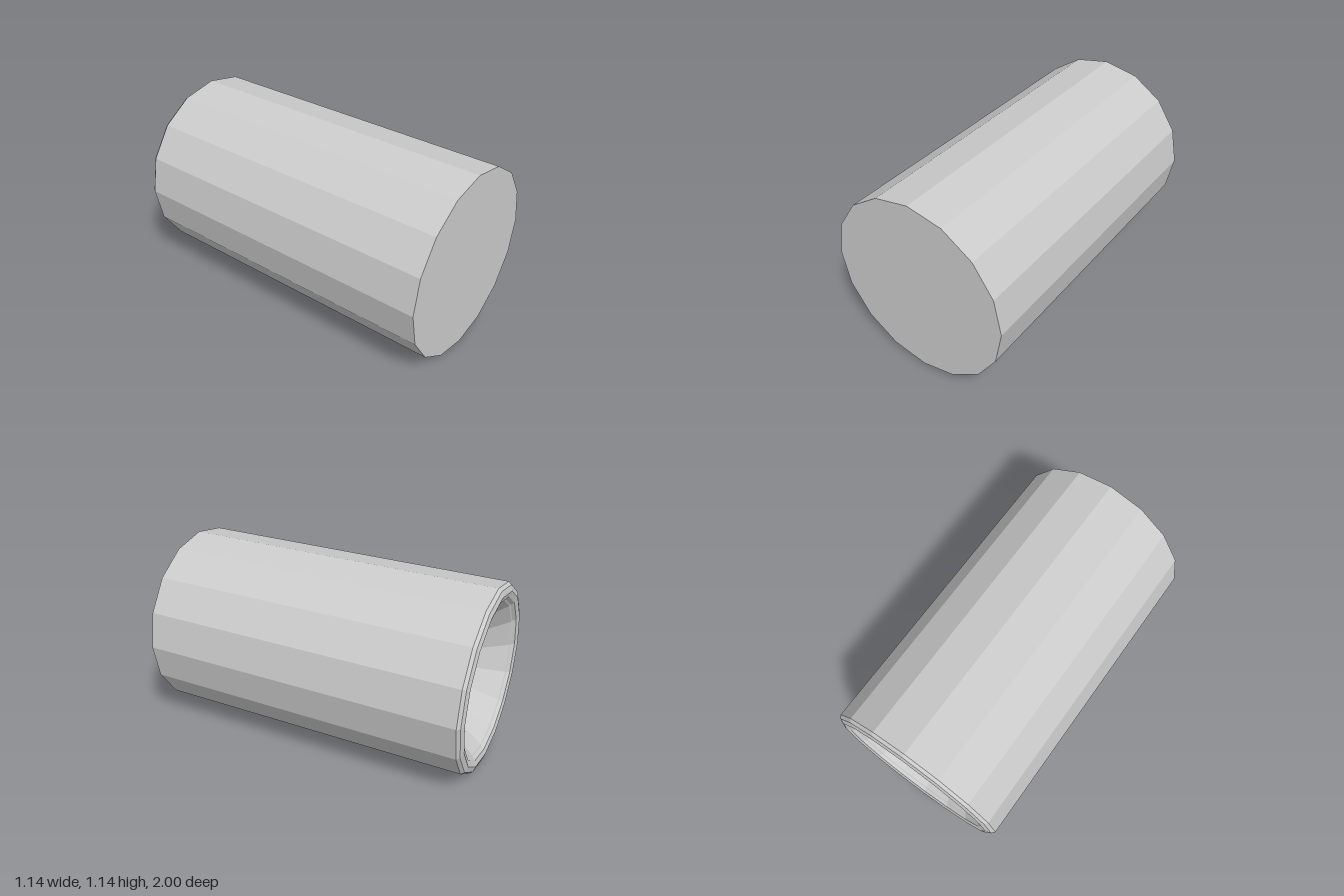
import * as THREE from 'three';

const SIDES = 16;
const RADIUS = 0.57;

export function createModel() {
  const model = new THREE.Group();
  model.name = 'hollowEndedCylinder';
  const material = new THREE.MeshStandardMaterial({ color: 0xcccccc, flatShading: true });

  // Revolves [radius, distance towards the back] points around the z axis
  const addTurned = (name, points) => {
    const profile = points.map(([r, d]) => new THREE.Vector2(r, d));
    const geometry = new THREE.LatheGeometry(profile, SIDES);
    geometry.rotateX(-Math.PI / 2);
    const mesh = new THREE.Mesh(geometry, material);
    mesh.name = name;
    mesh.position.y = RADIUS;
    model.add(mesh);
  };

  // Long faceted body with a closed flat front
  addTurned('body', [[0, -1], [RADIUS, -1], [RADIUS, 0.97]]);

  // Rounded lip around the back opening
  addTurned('rim', [
    [RADIUS, 0.97], [0.555, 0.989], [0.52, 1], [0.485, 0.989], [0.47, 0.97], [0.46, 0.965],
  ]);

  // Tapered recess ending in a small flat floor
  addTurned('recess', [[0.46, 0.965], [0.225, 0.67], [0, 0.67]]);

  return model;
}
